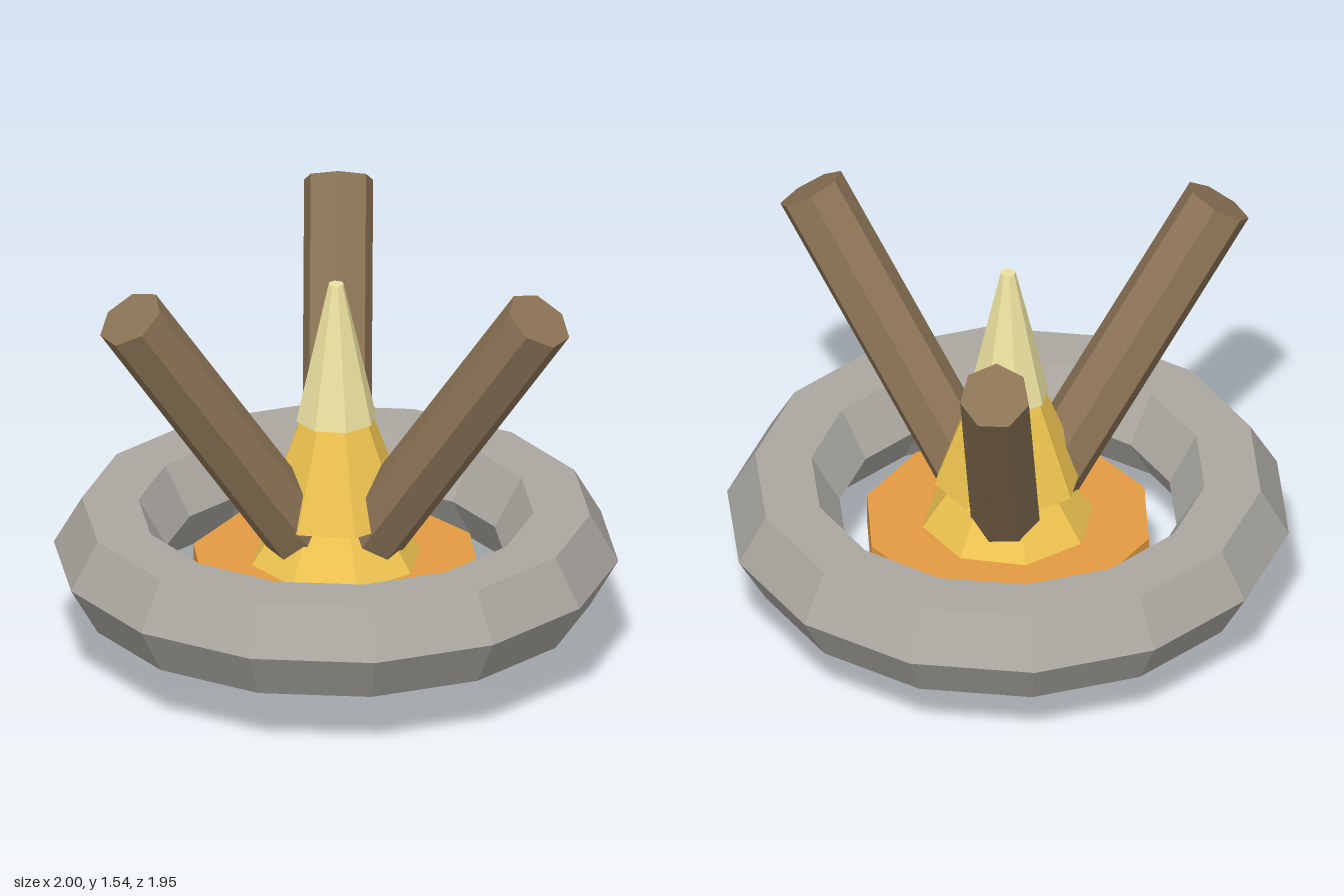
import * as THREE from 'three';

export function createModel() {
  const root = new THREE.Group();
  const mat = (color) => new THREE.MeshStandardMaterial({ color, flatShading: true });
  const wood = mat(0x8b7355), stone = mat(0xaaa7a0);
  const orange = mat(0xe39a42), yellow = mat(0xeec34f), pale = mat(0xece2a0);

  const add = (name, geometry, material) => {
    const mesh = new THREE.Mesh(geometry, material);
    mesh.name = name;
    root.add(mesh);
    return mesh;
  };

  // Upright tapered prism between two heights
  const tier = (name, rBottom, rTop, y0, y1, sides, material) => {
    const g = new THREE.CylinderGeometry(rTop, rBottom, y1 - y0, sides);
    g.translate(0, (y0 + y1) / 2, 0);
    return add(name, g, material);
  };

  // Faceted stone ring with a hexagonal section
  const ring = new THREE.TorusGeometry(0.8, 0.2, 6, 14);
  ring.rotateX(Math.PI / 2).translate(0, 0.4, 0);
  add('stoneRing', ring, stone);

  // Ember bed and stacked flames
  tier('emberBed', 0.515, 0.515, 0.26, 0.38, 10, orange);
  tier('lowerFlame', 0.4, 0.17, 0.24, 0.585, 8, yellow);
  tier('middleFlame', 0.265, 0.1, 0.56, 1.0, 8, yellow);
  tier('flameTip', 0.145, 0.027, 0.915, 1.43, 8, pale);

  // Three logs crossing near the ground and leaning outward
  for (let i = 0; i < 3; i++) {
    const g = new THREE.CylinderGeometry(0.125, 0.125, 1.712, 7, 1, false, Math.PI * 1.5);
    g.rotateZ(-Math.atan2(0.985, 1.4)).translate(0.34, 0.773, 0);
    add('log' + (i + 1), g, wood).rotation.y = (i * Math.PI * 2) / 3;
  }

  return root;
}
